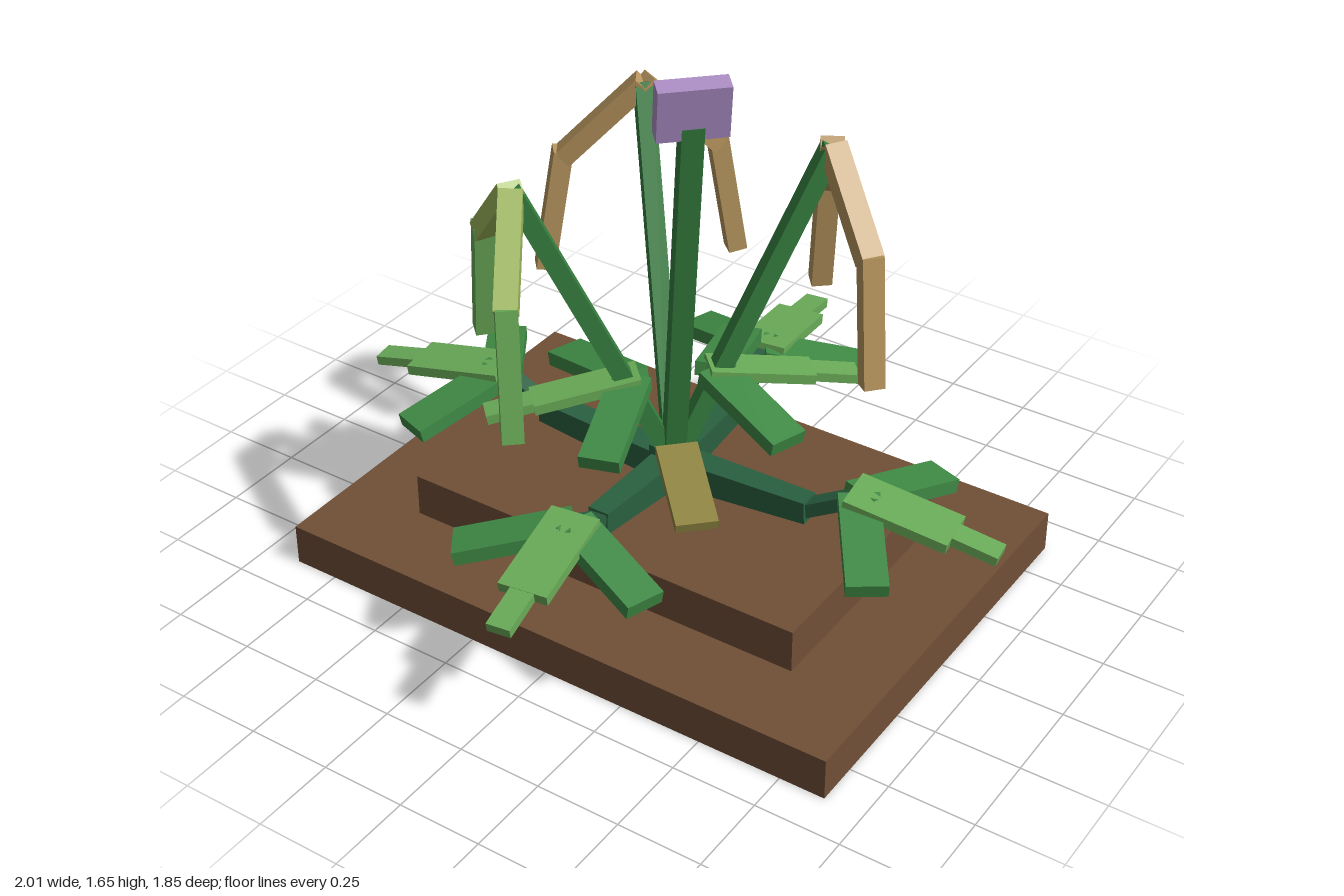
import * as THREE from 'three';

const mat = (name, color) => {
  const m = new THREE.MeshStandardMaterial({ color });
  m.name = name;
  return m;
};

const M = {
  soil: mat('soil brown', 0x704f36),
  root: mat('deep green', 0x2a6040),
  stalk: mat('stalk green', 0x36803f),
  leaf: mat('leaf green', 0x3f8a45),
  lightLeaf: mat('light leaf green', 0x6aab58),
  young: mat('yellow green', 0x9fb95c),
  dry: mat('dry tan', 0xb8965f),
  khaki: mat('khaki', 0x8f8440),
  petal: mat('petal purple', 0xab8dc4),
  pale: mat('pale grey', 0xdcdcdc),
};

function box(parent, name, w, h, d, x, y, z, material) {
  const mesh = new THREE.Mesh(new THREE.BoxGeometry(w, h, d), material);
  mesh.name = name;
  mesh.position.set(x, y, z);
  parent.add(mesh);
  return mesh;
}

// Rectangular bar between two points: w is the level width, t the thickness, taper scales the far end
function bar(parent, name, from, to, w, t, material, taper = 1) {
  const a = new THREE.Vector3(...from), b = new THREE.Vector3(...to);
  const dir = b.clone().sub(a);
  const geo = new THREE.BoxGeometry(w, t, dir.length());
  const p = geo.attributes.position;
  for (let i = 0; i < p.count; i++) {
    if (p.getZ(i) > 0) p.setXY(i, p.getX(i) * taper, p.getY(i) * taper);
  }
  geo.computeVertexNormals();
  dir.normalize();
  const side = new THREE.Vector3(0, 1, 0).cross(dir).normalize();
  const up = dir.clone().cross(side);
  const mesh = new THREE.Mesh(geo, material);
  mesh.name = name;
  mesh.quaternion.setFromRotationMatrix(new THREE.Matrix4().makeBasis(side, up, dir));
  mesh.position.copy(a).add(b).multiplyScalar(0.5);
  parent.add(mesh);
  return mesh;
}

// Three drooping leaves: a stepped light one forward (+x) and a dark one to each side
function leafCluster(name, wide) {
  const g = new THREE.Group();
  g.name = name;
  bar(g, 'frontLeaf', [-0.03, 0.015, 0], [0.27, -0.035, 0], wide, 0.03, M.lightLeaf);
  bar(g, 'frontLeafTip', [0.26, -0.033, 0], [0.4, -0.06, 0], 0.07, 0.028, M.lightLeaf);
  for (const s of [-1, 1]) {
    const a = s * THREE.MathUtils.degToRad(65);
    bar(g, 'sideLeaf', [-0.01, 0, 0], [0.315 * Math.cos(a), -0.07, 0.315 * Math.sin(a)],
      0.115, 0.042, M.leaf);
  }
  return g;
}

// Leaning stalk topped by two folded hanging blades
function drooper(name, sx, sz, top, upper, lower) {
  const g = new THREE.Group();
  g.name = name;
  const apex = [0.305 * sx, top - 0.035, 0.305 * sz];
  bar(g, 'stalk', [0, 0.34, 0], apex, 0.052, 0.052, M.stalk);
  for (const swap of [false, true]) {
    const at = (u, y, v) => (swap ? [v * sx, y, u * sz] : [u * sx, y, v * sz]);
    bar(g, 'upperBlade', apex, at(0.5, top - 0.27, 0.185), 0.065, 0.055, upper);
    bar(g, 'lowerBlade', at(0.5, top - 0.25, 0.185), at(0.545, top - 0.625, 0.145), 0.06, 0.055, lower);
  }
  return g;
}

export function createModel() {
  const model = new THREE.Group();
  model.name = 'plant';

  // Stepped soil base
  box(model, 'lowerBase', 1.77, 0.125, 1.26, 0, 0.0625, 0, M.soil);
  box(model, 'upperBase', 1.26, 0.13, 0.76, 0, 0.19, 0, M.soil);
  box(model, 'hub', 0.1, 0.15, 0.1, 0, 0.325, 0, M.root);

  // Four low arms, each ending in a leaf cluster
  for (let i = 0; i < 4; i++) {
    const short = i % 2 ? 0.08 : 0;
    const arm = new THREE.Group();
    arm.name = 'lowArm';
    arm.rotation.y = (i * Math.PI) / 2;
    bar(arm, 'armBase', [0, 0.325, 0], [0.45 - short, 0.352, 0], 0.085, 0.09, M.root, 0.75);
    bar(arm, 'armEnd', [0.43 - short, 0.345, 0], [0.6 - short, 0.44, -0.02], 0.05, 0.04, M.root);
    const leaves = leafCluster('armLeaves', 0.145);
    leaves.position.set(0.6 - short, 0.435, -0.02);
    leaves.rotation.y = THREE.MathUtils.degToRad(8);
    arm.add(leaves);
    model.add(arm);
  }

  // Three drooping stems on the diagonals
  model.add(drooper('backRightStem', -1, -1, 1.355, M.dry, M.dry));
  model.add(drooper('backLeftStem', 1, -1, 1.335, M.dry, M.dry));
  model.add(drooper('frontRightStem', -1, 1, 1.29, M.young, M.lightLeaf));

  // Leaf clusters part way up two of the stems
  for (const s of [1, -1]) {
    const leaves = leafCluster('stemLeaves', 0.1);
    leaves.position.set(0.09 * s, 0.625, -0.09 * s);
    leaves.rotation.y = s > 0 ? Math.PI / 4 : (Math.PI * 5) / 4;
    model.add(leaves);
  }

  // Tall flower stalk with a withered leaf at its foot
  bar(model, 'flowerStalk', [0, 0.34, 0], [0.165, 1.53, 0.165], 0.06, 0.055, M.stalk);
  bar(model, 'witheredLeaf', [0.03, 0.41, 0.03], [0.235, 0.345, 0.235], 0.12, 0.03, M.khaki);

  // Square bloom facing the front left, with a pale block behind it
  const flower = new THREE.Group();
  flower.name = 'flower';
  flower.position.set(0.17, 1.572, 0.17);
  flower.rotation.order = 'YXZ';
  flower.rotation.set(0.18, Math.PI / 4, 0);
  box(flower, 'bloom', 0.19, 0.155, 0.055, 0, 0, 0, M.petal);
  box(flower, 'bloomBack', 0.085, 0.06, 0.1, 0, -0.025, -0.07, M.pale);
  model.add(flower);

  return model;
}
